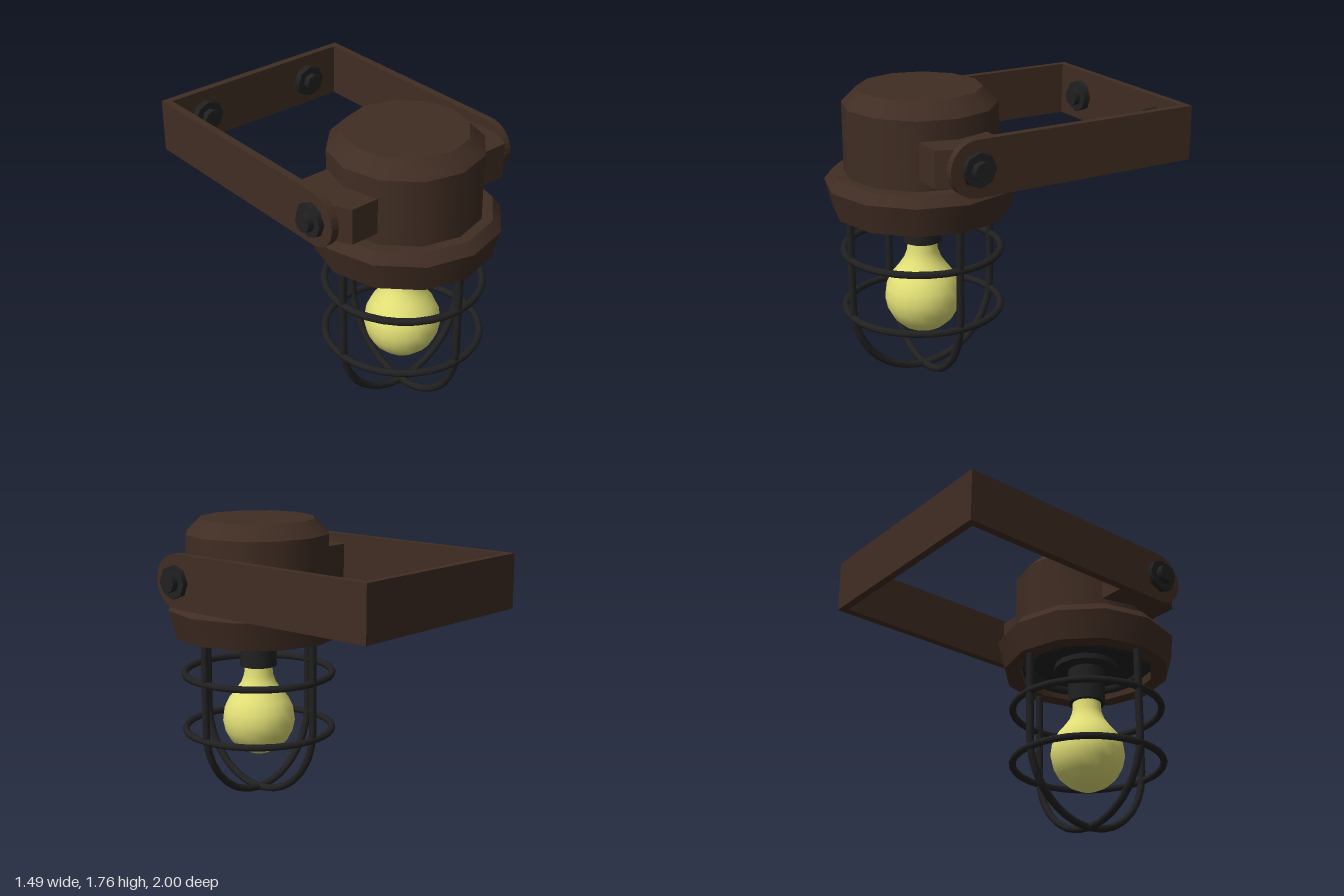
import * as THREE from 'three';

export function createModel() {
  const brown = new THREE.MeshStandardMaterial({ color: 0x402d23 });
  brown.name = 'brown metal';
  const black = new THREE.MeshStandardMaterial({ color: 0x212122 });
  black.name = 'black iron';
  const yellow = new THREE.MeshStandardMaterial({ color: 0xe2e076 });
  yellow.name = 'yellow glass';

  const model = new THREE.Group();
  model.name = 'cageLamp';
  const lamp = new THREE.Group();
  lamp.name = 'lamp';
  lamp.position.z = 0.43;
  model.add(lamp);

  const add = (parent, name, geometry, material, x = 0, y = 0, z = 0) => {
    const mesh = new THREE.Mesh(geometry, material);
    mesh.name = name;
    mesh.position.set(x, y, z);
    parent.add(mesh);
    return mesh;
  };

  // Housing: each pair of profile points is its own band, so the rims stay crisp
  const bands = (name, points, material) => {
    for (let i = 0; i < points.length - 1; i++) {
      const pair = [points[i], points[i + 1]].map(p => new THREE.Vector2(p[0], p[1]));
      add(lamp, name, new THREE.LatheGeometry(pair, 12), material);
    }
  };
  bands('housing', [[0.45, 1.26], [0.45, 1.67], [0.36, 1.76], [0, 1.76]], brown);
  bands('flange', [[0.42, 1.1], [0.42, 1.035], [0.52, 1.035], [0.565, 1.21], [0.515, 1.272], [0.44, 1.272]], brown);

  // Recessed socket plate, seal ring and bulb holder
  bands('socketPlate', [[0, 1.09], [0.42, 1.09]], black);
  add(lamp, 'sealRing', new THREE.TorusGeometry(0.36, 0.03, 6, 24), black, 0, 1.08).rotation.x = Math.PI / 2;
  add(lamp, 'socketCollar', new THREE.CylinderGeometry(0.2, 0.2, 0.04, 16), black, 0, 1.075);
  add(lamp, 'socket', new THREE.CylinderGeometry(0.115, 0.115, 0.26, 16), black, 0, 0.96);

  // Bulb
  const bulbProfile = [[0, 0.255], [0.065, 0.265], [0.125, 0.295], [0.18, 0.345], [0.215, 0.41], [0.23, 0.48],
    [0.22, 0.55], [0.19, 0.615], [0.145, 0.67], [0.11, 0.72], [0.092, 0.77], [0.088, 0.84]];
  add(lamp, 'bulb', new THREE.LatheGeometry(bulbProfile.map(p => new THREE.Vector2(...p)), 20), yellow);

  // Guard cage: two crossed hoops and two rings
  const hoop = new THREE.CurvePath();
  const arc = [];
  for (let i = 0; i <= 14; i++) {
    const a = Math.PI * i / 14;
    arc.push(new THREE.Vector3(-0.46 * Math.cos(a), 0.483 - 0.46 * Math.sin(a), 0));
  }
  const path = [new THREE.Vector3(-0.46, 1.06, 0), ...arc, new THREE.Vector3(0.46, 1.06, 0)];
  for (let i = 0; i < path.length - 1; i++) hoop.add(new THREE.LineCurve3(path[i], path[i + 1]));
  const hoopGeometry = new THREE.TubeGeometry(hoop, 64, 0.023, 8);
  for (const turn of [0, Math.PI / 2]) add(lamp, 'cageHoop', hoopGeometry, black).rotation.y = turn;
  for (const y of [0.787, 0.427]) {
    add(lamp, 'cageRing', new THREE.TorusGeometry(0.464, 0.022, 8, 32), black, 0, y).rotation.x = Math.PI / 2;
  }

  // Bolt: octagonal washer and smaller head, pointing along +y before turning
  const addBolt = (x, y, z, rx, rz) => {
    const bolt = new THREE.Group();
    bolt.name = 'bolt';
    add(bolt, 'washer', new THREE.CylinderGeometry(0.1, 0.1, 0.045, 8), black, 0, 0.0125);
    add(bolt, 'boltHead', new THREE.CylinderGeometry(0.057, 0.057, 0.06, 8), black, 0, 0.045);
    bolt.position.set(x, y, z);
    bolt.rotation.set(rx, 0, rz);
    model.add(bolt);
  };

  // Yoke arm outline, drawn with shape x = -z
  const arm = new THREE.Shape();
  arm.moveTo(1, -0.163);
  arm.lineTo(1, 0.163);
  arm.lineTo(-0.435, 0.163);
  arm.absarc(-0.435, 0, 0.163, Math.PI / 2, Math.PI * 1.5, false);
  arm.closePath();
  const armGeometry = new THREE.ExtrudeGeometry(arm, { depth: 0.047, bevelEnabled: false, curveSegments: 8 });

  // Pivot lug outline in plan, drawn with shape y = -z
  const lug = new THREE.Shape([[0.3, -0.213], [0.57, -0.213], [0.627, -0.1], [0.627, 0.1], [0.57, 0.213], [0.3, 0.213]]
    .map(p => new THREE.Vector2(...p)));
  const lugGeometry = new THREE.ExtrudeGeometry(lug, { depth: 0.215, bevelEnabled: false });

  for (const side of [1, -1]) {
    add(model, 'yokeArm', armGeometry, brown, side > 0 ? 0.625 : -0.672, 1.445).rotation.y = Math.PI / 2;
    const block = add(lamp, 'pivotLug', lugGeometry, brown, 0, 1.34);
    block.rotation.set(-Math.PI / 2, 0, side > 0 ? 0 : Math.PI);
    addBolt(side * 0.67, 1.445, 0.435, 0, -side * Math.PI / 2);
    addBolt(side * 0.395, 1.445, -0.945, Math.PI / 2, 0);
  }
  add(model, 'yokeBack', new THREE.BoxGeometry(1.25, 0.326, 0.045), brown, 0, 1.445, -0.9775);

  return model;
}
